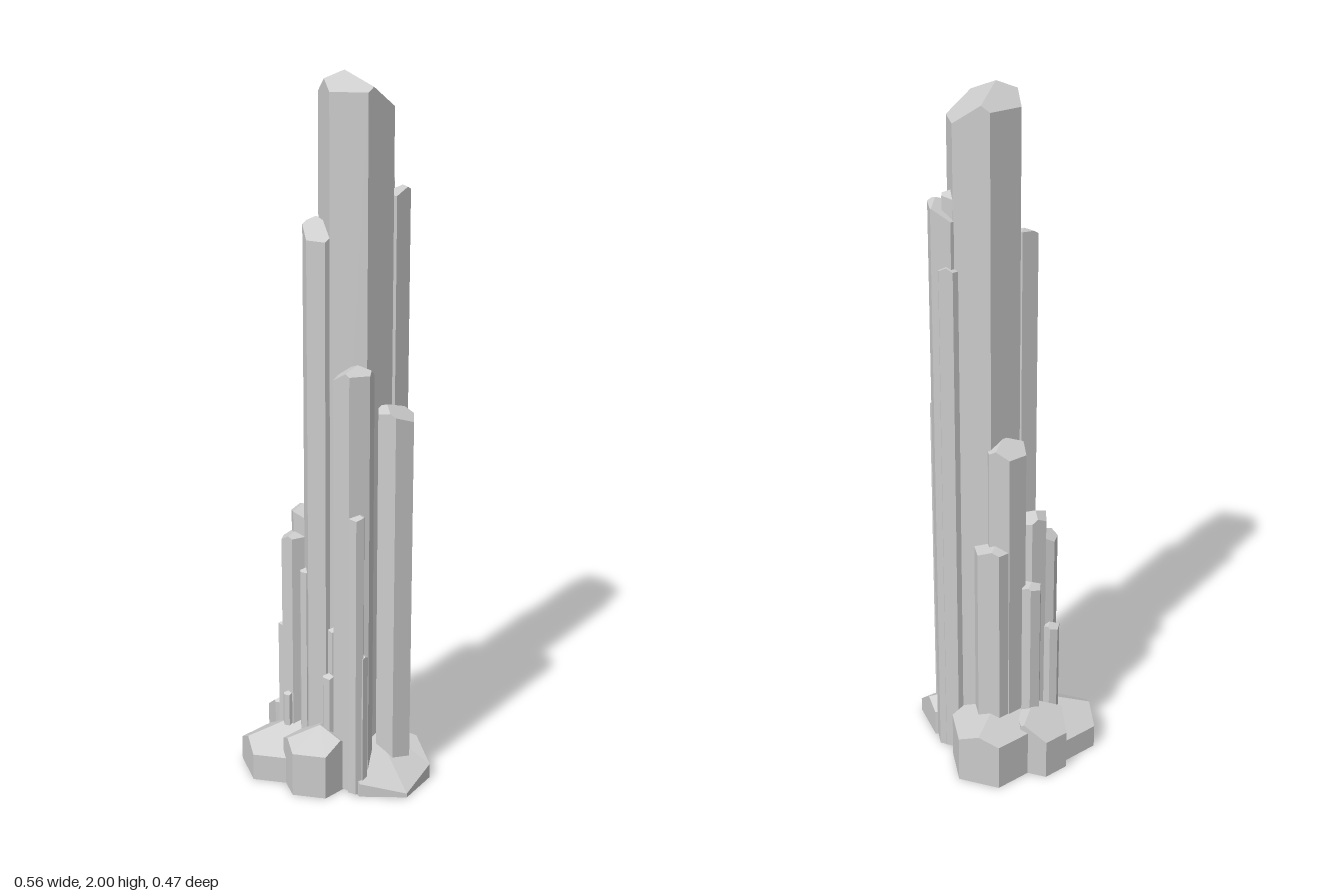
import * as THREE from 'three';

const material = new THREE.MeshStandardMaterial({ color: 0xcccccc, flatShading: true });
const rad = THREE.MathUtils.degToRad;

// Six-sided prism closed by a three-faced tip. c: centre, r: radius, turn: degrees,
// top: tip height, tip: apex offset, slope: steepness, facing: direction of one tip face
function crystalGeometry({ c, r, turn = 0, top, tip = [0, 0], slope = 0.6, facing = 90, bottom = 0, minEave = 0.012 }) {
  const [ax, az] = [c[0] + tip[0], c[1] + tip[1]];
  const hex = [];
  for (let i = 0; i < 6; i++) {
    const a = rad(turn + i * 60);
    hex.push([c[0] + r * Math.cos(a), c[1] + r * Math.sin(a)]);
  }
  // Rim: the corners plus the points where the three tip ridges meet the sides
  const rim = [];
  hex.forEach((p, i) => {
    rim.push(p);
    const q = hex[(i + 1) % 6];
    const [ex, ez] = [q[0] - p[0], q[1] - p[1]];
    const cuts = [];
    for (let k = 0; k < 3; k++) {
      const a = rad(facing + 60 + k * 120);
      const [dx, dz] = [Math.cos(a), Math.sin(a)];
      const det = ex * dz - ez * dx;
      if (Math.abs(det) < 1e-9) continue;
      const t = ((ax - p[0]) * dz - (az - p[1]) * dx) / det;
      const along = (p[0] + ex * t - ax) * dx + (p[1] + ez * t - az) * dz;
      if (t > 0.03 && t < 0.97 && along > 0) cuts.push(t);
    }
    cuts.sort((m, n) => m - n).forEach(t => rim.push([p[0] + ex * t, p[1] + ez * t]));
  });
  const height = ([x, z]) => {
    let drop = 0;
    for (let k = 0; k < 3; k++) {
      const a = rad(facing + k * 120);
      drop = Math.max(drop, (x - ax) * Math.cos(a) + (z - az) * Math.sin(a));
    }
    return Math.max(minEave, top - slope * drop);
  };
  const pos = [];
  rim.forEach((p, i) => {
    const q = rim[(i + 1) % rim.length];
    const P = [p[0], height(p), p[1]], Q = [q[0], height(q), q[1]];
    const p0 = [p[0], bottom, p[1]], q0 = [q[0], bottom, q[1]];
    pos.push(...[ax, top, az], ...Q, ...P); // tip
    pos.push(...P, ...Q, ...q0, ...P, ...q0, ...p0); // side
    pos.push(c[0], bottom, c[1], ...p0, ...q0); // underside
  });
  const g = new THREE.BufferGeometry();
  g.setAttribute('position', new THREE.Float32BufferAttribute(pos, 3));
  g.computeVertexNormals();
  return g;
}

export function createModel() {
  const model = new THREE.Group();
  model.name = 'crystalCluster';

  const parts = {
    // Tall columns
    mainColumn: [{ c: [0.047, 0], r: 0.103, top: 2, tip: [-0.027, 0.02], slope: 0.75 }],
    tallColumn: [
      { c: [-0.036, 0.055], r: 0.052, turn: 5, top: 1.62, tip: [-0.02, -0.03], slope: 0.75 },
      { c: [0.13, -0.05], r: 0.056, turn: 0, top: 1.7, tip: [0.035, 0.005], slope: 0.6, facing: 200 },
      { c: [0.11, -0.05], r: 0.036, turn: 15, top: 1.73, tip: [0, 0], slope: 0.6, facing: 30 },
      { c: [0.115, -0.07], r: 0.04, turn: 0, top: 1.54, slope: 0.6 },
    ],
    // Medium columns
    mediumColumn: [
      { c: [0.07, 0.125], r: 0.058, turn: 30, top: 1.245, tip: [0.012, 0.01], slope: 0.65, facing: 180 },
      { c: [0.17, 0.04], r: 0.056, turn: 20, top: 1.115, tip: [-0.025, 0], slope: 0.5, facing: 10 },
      { c: [-0.035, -0.055], r: 0.06, turn: 0, top: 1.04, tip: [0.01, 0.01], slope: 0.6, facing: 210 },
      { c: [-0.013, -0.08], r: 0.065, turn: 0, top: 0.74, tip: [-0.01, 0.02], slope: 0.45, facing: 210 },
      { c: [-0.092, 0.008], r: 0.046, turn: 10, top: 0.8, tip: [-0.01, 0], slope: 0.7, facing: 180 },
      { c: [-0.122, 0.035], r: 0.038, turn: 25, top: 0.73, tip: [0.01, 0], slope: 0.6, facing: 180 },
    ],
    // Thin columns
    thinColumn: [
      { c: [0.09, 0.178], r: 0.024, turn: 20, top: 0.84, tip: [0.008, 0], slope: 0.5 },
      { c: [0.102, 0.172], r: 0.02, turn: 0, top: 0.43 },
      { c: [-0.112, -0.05], r: 0.03, turn: 15, top: 0.6, slope: 0.6 },
      { c: [-0.155, 0.01], r: 0.023, turn: 25, top: 0.44, tip: [0.005, 0] },
      { c: [-0.08, 0.07], r: 0.018, turn: 10, top: 0.63 },
      { c: [0.002, 0.13], r: 0.02, turn: 15, top: 0.34 },
      { c: [0.008, 0.105], r: 0.016, turn: 30, top: 0.47 },
      { c: [-0.135, 0.065], r: 0.016, turn: 5, top: 0.24 },
      { c: [-0.09, 0.16], r: 0.013, turn: 45, top: 0.14 },
    ],
    // Broad, low crystals around the foot
    baseCrystal: [
      { c: [0.15, 0.075], r: 0.134, turn: -11, top: 0.15, tip: [-0.05, -0.06], slope: 0.75, facing: 50 },
      { c: [-0.033, 0.15], r: 0.096, turn: 0, top: 0.18, tip: [0.01, -0.01], slope: 0.55, facing: 90 },
      { c: [-0.147, 0.057], r: 0.133, turn: 0, top: 0.16, tip: [0.05, -0.02], slope: 0.6, facing: 90 },
      { c: [-0.153, -0.07], r: 0.079, turn: 0, top: 0.2, tip: [0.03, 0.02], slope: 0.75, facing: 210 },
      { c: [-0.018, -0.127], r: 0.124, turn: 0, top: 0.19, tip: [0, 0.03], slope: 0.4, facing: 210 },
    ],
  };

  let n = 0;
  for (const [name, list] of Object.entries(parts)) {
    list.forEach((spec, i) => {
      // Column feet sit at slightly different depths inside the base
      const bottom = name === 'baseCrystal' ? 0 : 0.003 + 0.002 * (n++ % 5);
      const mesh = new THREE.Mesh(crystalGeometry({ ...spec, bottom }), material);
      mesh.name = list.length > 1 ? `${name}${i + 1}` : name;
      model.add(mesh);
    });
  }
  return model;
}
